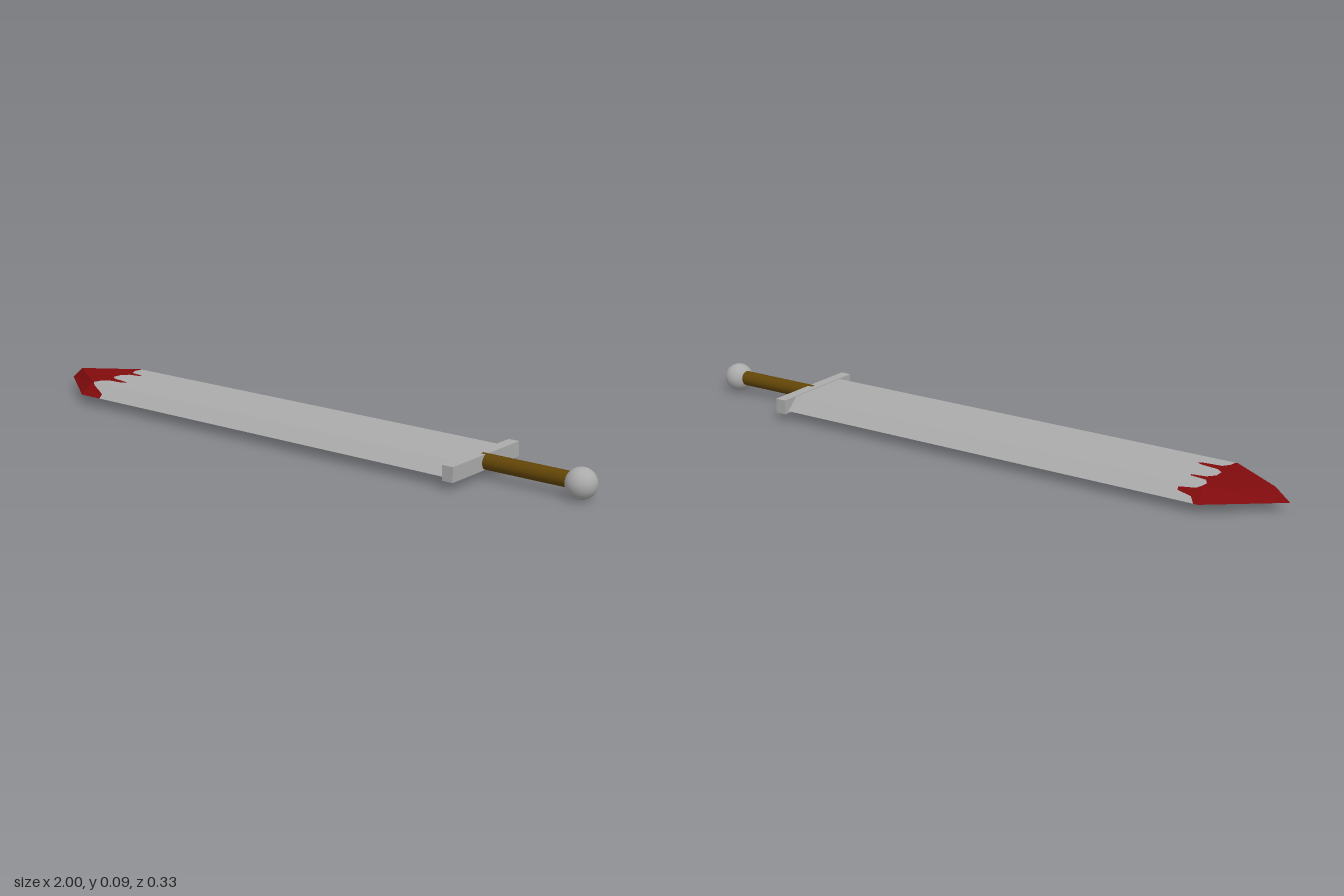
import * as THREE from 'three';

const steel = new THREE.MeshStandardMaterial({ name: 'steel grey', color: 0xaaaaaa });
const red = new THREE.MeshStandardMaterial({ name: 'dark red', color: 0x800b0d });
const brown = new THREE.MeshStandardMaterial({ name: 'grip brown', color: 0x624507 });

// Blade measurements
const BOTTOM = 0.03, TOP = 0.067, EDGE = 0.15, FLAT = 0.11, END = 0.635;

// Edge of the red tip: [z, x] pairs with drips
const drips = [
  [-0.15, -0.785], [-0.135, -0.77], [-0.128, -0.725], [-0.12, -0.725], [-0.115, -0.775],
  [-0.11, -0.785], [-0.08, -0.79], [-0.056, -0.775], [-0.049, -0.725], [-0.04, -0.722],
  [-0.033, -0.765], [-0.01, -0.785], [0.02, -0.785], [0.036, -0.765], [0.044, -0.71],
  [0.052, -0.695], [0.06, -0.71], [0.066, -0.765], [0.085, -0.78], [0.11, -0.785],
  [0.118, -0.775], [0.13, -0.74], [0.138, -0.72], [0.15, -0.72],
];
const topStart = (z) => -0.955 + (Math.abs(z) / FLAT) * 0.163;
const bottomStart = (z) => -1 + (Math.abs(z) / EDGE) * 0.2;

function faceMesh(name, positions, material) {
  const geometry = new THREE.BufferGeometry();
  geometry.setAttribute('position', new THREE.Float32BufferAttribute(positions, 3));
  geometry.computeVertexNormals();
  const mesh = new THREE.Mesh(geometry, material);
  mesh.name = name;
  return mesh;
}

function quad(out, a, b, c, d) {
  out.push(...a, ...b, ...c, ...a, ...c, ...d);
}

// Long face from z0 to z1, cut into red and steel along the drips
function bladeFace(name, z0, z1, height, start, facesDown) {
  const parts = { red: [], steel: [] };
  const rows = drips.filter(([z]) => z >= z0 && z <= z1);
  // Add the centre row so that the point stays sharp
  if (z0 < 0 && z1 > 0) rows.push([0, -0.785]);
  rows.sort((a, b) => a[0] - b[0]);
  for (let i = 0; i < rows.length - 1; i++) {
    const [za, xa] = rows[i], [zb, xb] = rows[i + 1];
    const strip = (out, a0, a1, b0, b1) => {
      const p = [[a0, height(za), za], [b0, height(zb), zb], [b1, height(zb), zb], [a1, height(za), za]];
      if (facesDown) p.reverse();
      quad(out, ...p);
    };
    strip(parts.red, start(za), xa, start(zb), xb);
    strip(parts.steel, xa, END, xb, END);
  }
  const group = new THREE.Group();
  group.name = name;
  group.add(faceMesh(name + 'RedTip', parts.red, red), faceMesh(name + 'Steel', parts.steel, steel));
  return group;
}

function createBlade() {
  const blade = new THREE.Group();
  blade.name = 'blade';
  const bevelHeight = (z) => THREE.MathUtils.mapLinear(Math.abs(z), FLAT, EDGE, TOP, BOTTOM);
  const bevelStart = (z) => THREE.MathUtils.mapLinear(Math.abs(z), FLAT, EDGE, topStart(FLAT), bottomStart(EDGE));
  blade.add(
    bladeFace('topFace', -FLAT, FLAT, () => TOP, topStart, false),
    bladeFace('underside', -EDGE, EDGE, () => BOTTOM, bottomStart, true),
    bladeFace('leftBevel', FLAT, EDGE, bevelHeight, bevelStart, false),
    bladeFace('rightBevel', -EDGE, -FLAT, bevelHeight, bevelStart, false),
  );
  // Sloping faces of the point
  const point = [];
  const lowTip = [bottomStart(0), BOTTOM, 0], highTip = [topStart(0), TOP, 0];
  for (const s of [1, -1]) {
    const low = [bottomStart(EDGE), BOTTOM, s * EDGE], high = [topStart(FLAT), TOP, s * FLAT];
    if (s > 0) quad(point, lowTip, low, high, highTip);
    else quad(point, lowTip, highTip, high, low);
  }
  blade.add(faceMesh('pointBevels', point, red));
  return blade;
}

export function createModel() {
  const model = new THREE.Group();
  model.name = 'sword';
  model.add(createBlade());

  // Crossguard
  const guard = new THREE.Mesh(new THREE.BoxGeometry(0.035, 0.045, 0.33), steel);
  guard.name = 'crossguard';
  guard.position.set(0.6375, 0.0465, 0);
  model.add(guard);

  // Grip
  const grip = new THREE.Mesh(new THREE.CylinderGeometry(0.0232, 0.0232, 0.3, 32), brown);
  grip.name = 'grip';
  grip.rotation.z = Math.PI / 2;
  grip.position.set(0.79, 0.047, 0);
  model.add(grip);

  // Pommel
  const pommel = new THREE.Mesh(new THREE.SphereGeometry(0.0445, 32, 20), steel);
  pommel.name = 'pommel';
  pommel.position.set(0.9555, 0.0445, 0.003);
  model.add(pommel);

  return model;
}
